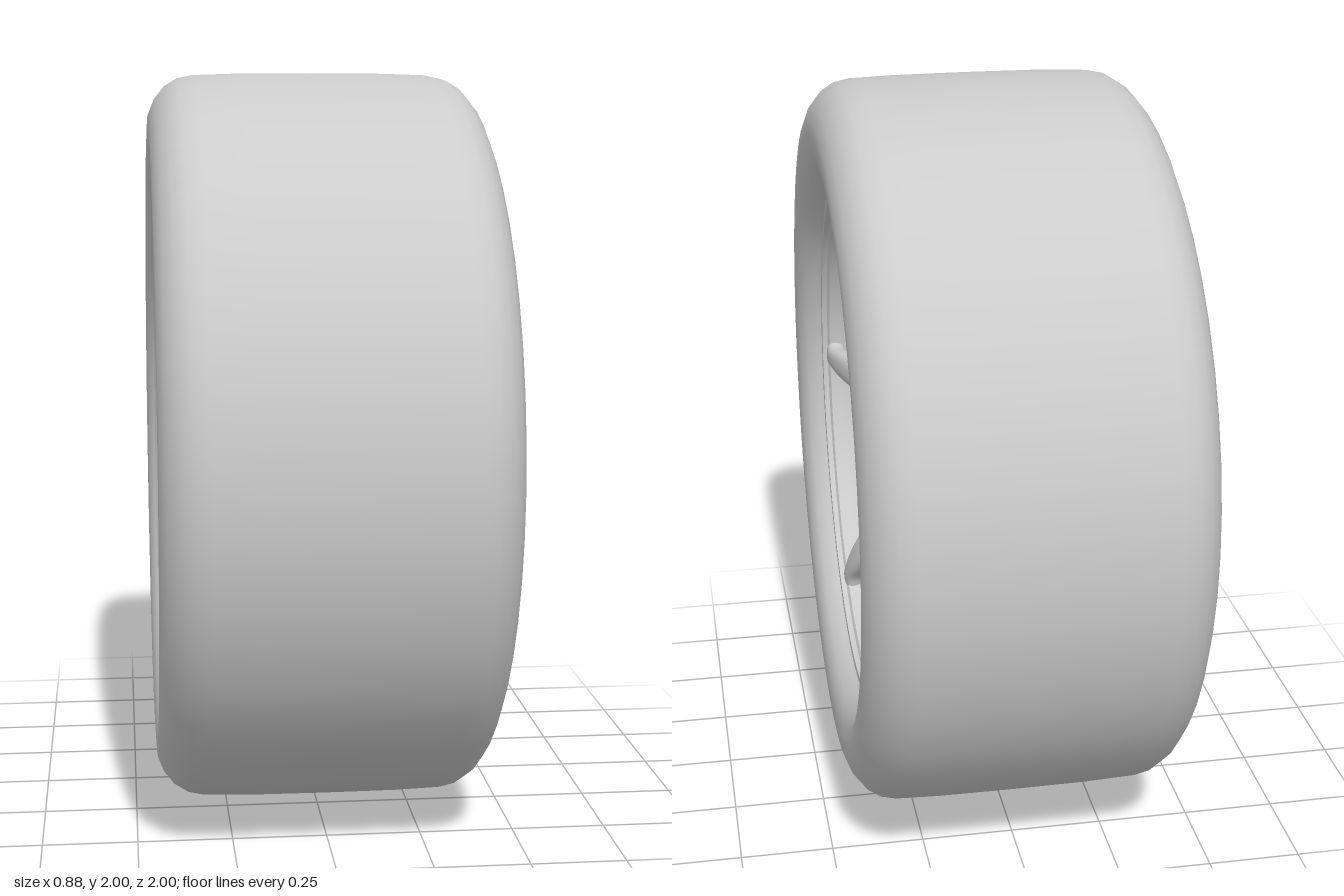
import * as THREE from 'three';
import { toCreasedNormals } from 'three/addons/utils/BufferGeometryUtils.js';

const grey = new THREE.MeshStandardMaterial({ color: 0xcccccc });
const greyDouble = new THREE.MeshStandardMaterial({ color: 0xcccccc, side: THREE.DoubleSide });

// The wheel is built with its axle along y, then tipped so the spokes face +x.
const polar = (r, a, y) => new THREE.Vector3(-r * Math.sin(a), y, r * Math.cos(a));

function part(name, geometry, material = grey) {
  const mesh = new THREE.Mesh(geometry, material);
  mesh.name = name;
  return mesh;
}

function lathe(points, segments, crease) {
  const g = new THREE.LatheGeometry(points.map(([r, y]) => new THREE.Vector2(r, y)), segments);
  return crease ? toCreasedNormals(g, crease) : g;
}

// One spoke: rounded sections that taper from a sixth of the hub to the rim
function spokeGeometry(angle) {
  // radius, half angle, front height
  const curve = new THREE.CatmullRomCurve3([
    [0.2, 0.56, 0.05], [0.23, 0.56, 0.08], [0.25, 0.55, 0.105], [0.259, 0.43, 0.118],
    [0.275, 0.326, 0.14], [0.309, 0.243, 0.18], [0.404, 0.148, 0.262], [0.5, 0.1, 0.316],
    [0.6, 0.07, 0.348], [0.66, 0.052, 0.36], [0.694, 0.06, 0.362],
  ].map((p) => new THREE.Vector3(...p)));
  const rows = 48, cols = 32, pos = [], index = [];
  for (let i = 0; i <= rows; i++) {
    const p = curve.getPoint(i / rows);
    const n = THREE.MathUtils.lerp(40, 2.6, THREE.MathUtils.smoothstep(p.x, 0.245, 0.34));
    const thick = THREE.MathUtils.mapLinear(p.x, 0.2, 0.694, 0.08, 0.055)
      + 0.035 * THREE.MathUtils.smoothstep(p.x, 0.2, 0.32) * (1 - THREE.MathUtils.smoothstep(p.x, 0.35, 0.65));
    for (let j = 0; j < cols; j++) {
      const t = (j / cols) * Math.PI * 2;
      const v = Math.cos(t);
      const h = Math.sign(Math.sin(t)) * Math.pow(Math.max(0, 1 - Math.pow(Math.abs(v), n)), 1 / n);
      const q = polar(p.x, angle + p.y * v, p.z + (thick / 2) * (h - 1));
      pos.push(q.x, q.y, q.z);
      if (i < rows) {
        const a = i * cols + j, b = i * cols + ((j + 1) % cols);
        index.push(a, a + cols, b, b, a + cols, b + cols);
      }
    }
  }
  const g = new THREE.BufferGeometry();
  g.setAttribute('position', new THREE.Float32BufferAttribute(pos, 3));
  g.setIndex(index);
  g.computeVertexNormals();
  return g;
}

export function createModel() {
  const model = new THREE.Group();
  model.name = 'wheel';
  const wheel = new THREE.Group();
  wheel.name = 'wheelAssembly';
  wheel.rotation.z = -Math.PI / 2;
  wheel.position.y = 1;
  model.add(wheel);

  // Tyre: half profile from bead to tread, mirrored
  const half = [
    [0.715, 0.33], [0.728, 0.36], [0.742, 0.385], [0.765, 0.415], [0.8, 0.436], [0.85, 0.442],
    [0.89, 0.44], [0.93, 0.424], [0.965, 0.396], [0.986, 0.362], [0.995, 0.32], [0.999, 0.2],
  ];
  const tyre = [...half.map(([r, y]) => [r, -y]), [1, 0], ...half.slice().reverse()];
  wheel.add(part('tyre', lathe(tyre, 48), greyDouble));

  // Rim: front lip, stepped seat, barrel, rear lip
  wheel.add(part('rim', lathe([
    [0.715, 0.34], [0.736, 0.352], [0.74, 0.366], [0.734, 0.377], [0.722, 0.38], [0.718, 0.374],
    [0.703, 0.373], [0.7, 0.358], [0.69, 0.352], [0.686, 0.32], [0.68, 0.28], [0.662, 0.25],
    [0.632, 0.235], [0.622, 0.222], [0.622, 0.19], [0.645, 0.13], [0.652, 0.08], [0.655, -0.31],
    [0.665, -0.34], [0.688, -0.36], [0.695, -0.39], [0.705, -0.412], [0.722, -0.42],
    [0.737, -0.412], [0.74, -0.395], [0.715, -0.36],
  ], 72, 0.6), greyDouble));

  // Six spokes
  for (let i = 0; i < 6; i++) wheel.add(part('spoke', spokeGeometry((i * Math.PI) / 3)));

  // Hub plate with five bolt holes
  const plate = new THREE.Shape();
  plate.absarc(0, 0, 0.214, 0, Math.PI * 2);
  const boltAngles = [0, 1, 2, 3, 4].map((k) => Math.PI / 2 + (k * Math.PI * 2) / 5);
  for (const a of boltAngles) {
    const hole = new THREE.Path();
    hole.absarc(-0.166 * Math.sin(a), -0.166 * Math.cos(a), 0.033, 0, Math.PI * 2, true);
    plate.holes.push(hole);
  }
  const plateGeo = new THREE.ExtrudeGeometry(plate, { depth: 0.075, bevelEnabled: false, curveSegments: 32 });
  plateGeo.rotateX(-Math.PI / 2).translate(0, -0.025, 0);
  wheel.add(part('hubPlate', toCreasedNormals(plateGeo, 0.6)));

  // Bolt collars behind the plate and small studs between the holes
  for (const a of boltAngles) {
    const collar = part('boltCollar', lathe([
      [0.033, -0.02], [0.033, -0.042], [0.041, -0.042], [0.044, -0.038], [0.044, -0.02],
    ], 20, 0.6), greyDouble);
    collar.position.copy(polar(0.166, a, 0));
    const stud = part('hubStud', new THREE.CylinderGeometry(0.008, 0.009, 0.012, 8));
    stud.position.copy(polar(0.138, a + Math.PI, 0.054));
    wheel.add(collar, stud);
  }

  // Centre cap
  wheel.add(part('centreCap', lathe([
    [0.125, 0.045], [0.122, 0.058], [0.114, 0.064], [0.104, 0.064], [0.1, 0.06],
    [0.097, 0.068], [0.09, 0.071], [0, 0.073],
  ], 40, 0.5)));

  // Tyre valve, leaning inward from the rim seat
  const valve = new THREE.Group();
  valve.name = 'valve';
  valve.position.set(0.66, 0.255, 0);
  valve.rotation.z = 0.75;
  valve.add(part('valveStem', lathe([
    [0, -0.01], [0.026, -0.01], [0.026, 0.01], [0.018, 0.018], [0.012, 0.022], [0.012, 0.05],
    [0.017, 0.052], [0.017, 0.082], [0.013, 0.088], [0, 0.088],
  ], 16, 0.6)));
  wheel.add(valve);

  return model;
}
